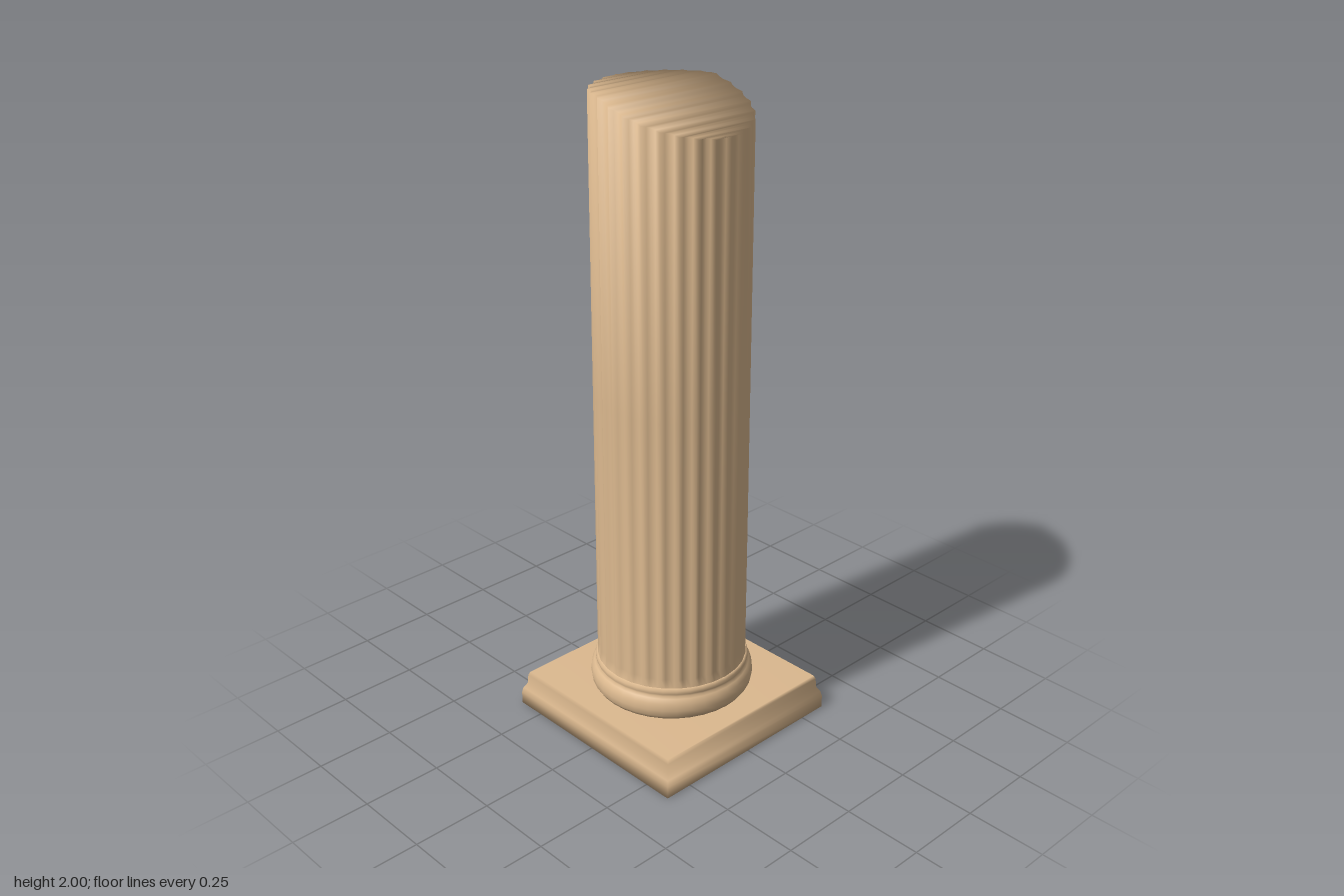
import * as THREE from 'three';

const stone = new THREE.MeshStandardMaterial({ color: 0xdcb98f });
stone.name = 'sandstone';

function turned(name, profile, segments, start = 0, scale = 1) {
  const points = profile.map(([r, y]) => new THREE.Vector2(r * scale, y));
  const mesh = new THREE.Mesh(new THREE.LatheGeometry(points, segments, start), stone);
  mesh.name = name;
  return mesh;
}

// Height of the broken top: level on the right, sloping down to the left
const breakHeight = (x) => 2 - Math.max(0, x + 0.06) * 0.333;

// Fluted shaft: stacked scalloped rings closed by a sloping cap
function createShaft() {
  const flutes = 28, steps = 4, n = flutes * steps;
  const rings = [
    { y: 0.195, r: 0.236, depth: 0 },
    { y: 0.215, r: 0.235, depth: 0 },
    { y: 0.245, r: 0.234, depth: 0.01 },
    { y: 1.1, r: 0.232, depth: 0.01 },
    { y: null, r: 0.23, depth: 0.01 },
  ];
  const positions = [], index = [];
  for (const { y, r, depth } of rings) {
    for (let i = 0; i < n; i++) {
      const a = (i / n) * Math.PI * 2;
      const radius = r - depth * Math.abs(Math.sin((a * flutes) / 2));
      const x = radius * Math.cos(a);
      positions.push(x, y ?? breakHeight(x), -radius * Math.sin(a));
    }
  }
  for (let k = 0; k < rings.length - 1; k++) {
    for (let i = 0; i < n; i++) {
      const a = k * n + i, b = k * n + ((i + 1) % n);
      index.push(a, b, a + n, b, b + n, a + n);
    }
  }
  // Cap strips run across the shaft from back rim to front rim
  const top = (rings.length - 1) * n;
  for (let i = 0; i < n / 2; i++) {
    const a = top + i, b = top + i + 1;
    const c = top + n - i - 1, d = top + ((n - i) % n);
    if (b !== c) index.push(a, b, c);
    if (a !== d) index.push(a, c, d);
  }
  const geometry = new THREE.BufferGeometry();
  geometry.setAttribute('position', new THREE.Float32BufferAttribute(positions, 3));
  geometry.setIndex(index);
  geometry.computeVertexNormals();
  const mesh = new THREE.Mesh(geometry, stone);
  mesh.name = 'flutedShaft';
  return mesh;
}

export function createModel() {
  const column = new THREE.Group();
  column.name = 'brokenColumn';

  // Square plinth with a moulded edge
  column.add(turned('plinth', [
    [0, 0], [0.342, 0], [0.342, 0.04], [0.338, 0.058], [0.328, 0.075],
    [0.326, 0.105], [0.321, 0.117], [0, 0.117],
  ], 4, Math.PI / 4, Math.SQRT2));

  // Rounded base ring with a narrow collar above it
  column.add(turned('baseRing', [
    [0.2, 0.115], [0.246, 0.117], [0.254, 0.13], [0.257, 0.15], [0.254, 0.172],
    [0.245, 0.186], [0.238, 0.192], [0.241, 0.2], [0.241, 0.21], [0.236, 0.218], [0.215, 0.219],
  ], 36));

  column.add(createShaft());
  return column;
}
